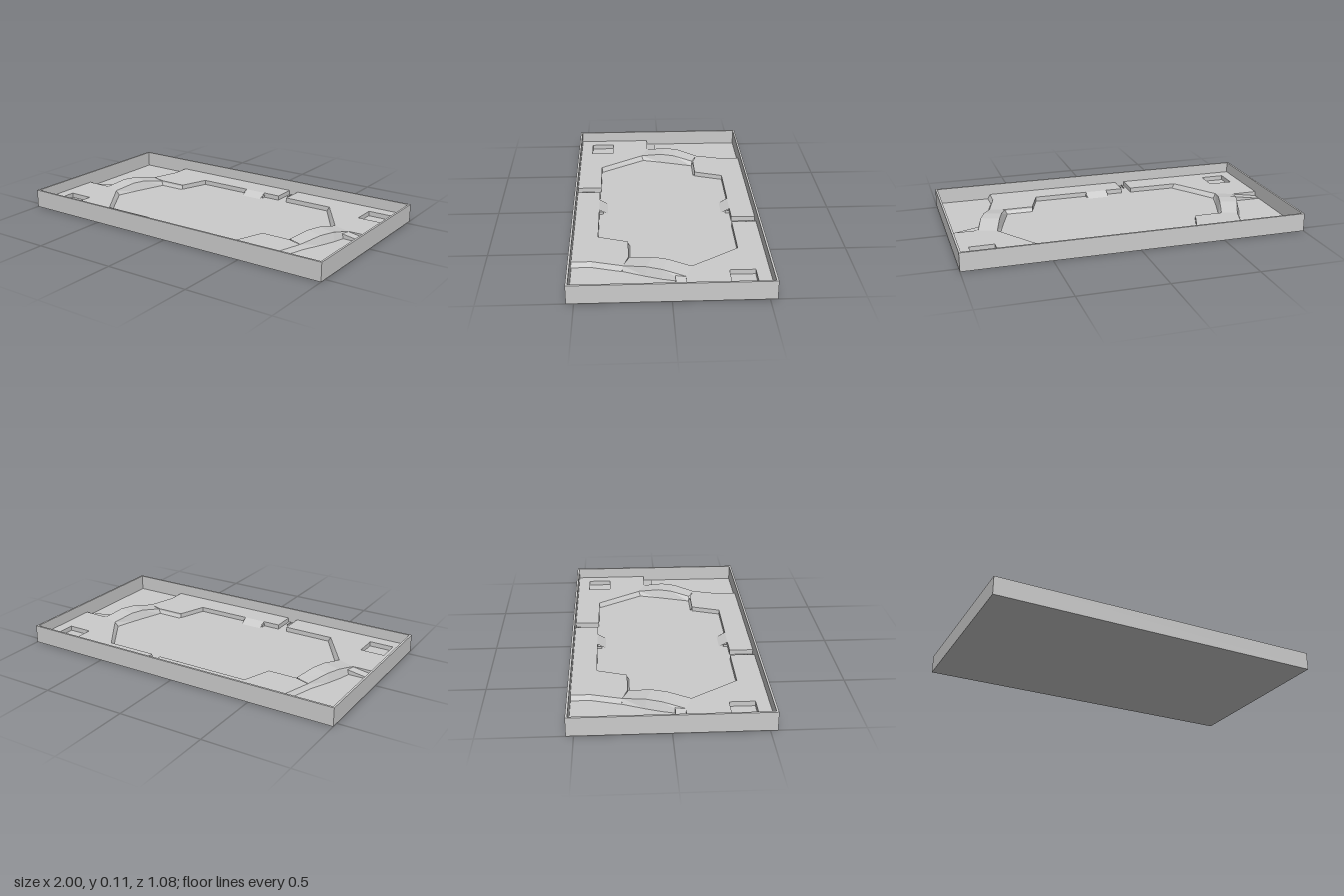
import * as THREE from 'three';

const FLOOR = 0.014, DECK = 0.042, CREST = 0.066, RIM = 0.107;
const X = 1, Z = 0.54, WALL = 0.012;
const material = new THREE.MeshStandardMaterial({ color: 0xcccccc, flatShading: true, side: THREE.DoubleSide });

function add(parent, name, geometry) {
  const mesh = new THREE.Mesh(geometry, material);
  mesh.name = name;
  parent.add(mesh);
  return mesh;
}

// Outline in plan [x, z], extruded upward from y0 to y1
function slab(outline, y0, y1, hole) {
  const toShape = pts => pts.map(([x, z]) => new THREE.Vector2(x, -z));
  const shape = new THREE.Shape(toShape(outline));
  if (hole) shape.holes.push(new THREE.Path(toShape(hole)));
  const g = new THREE.ExtrudeGeometry(shape, { depth: y1 - y0, bevelEnabled: false });
  return g.rotateX(-Math.PI / 2).translate(0, y0, 0);
}

const rect = (x0, x1, z0, z1) => [[x0, z0], [x1, z0], [x1, z1], [x0, z1]];

// Skin joining open cross-sections, each a list of [x, y, z]
function loft(sections) {
  const n = sections[0].length, index = [];
  for (let i = 0; i < sections.length - 1; i++) {
    for (let j = 0; j < n - 1; j++) {
      const a = i * n + j, b = a + n;
      index.push(a, a + 1, b, b, a + 1, b + 1);
    }
  }
  const g = new THREE.BufferGeometry();
  g.setAttribute('position', new THREE.Float32BufferAttribute(sections.flat(2), 3));
  g.setIndex(index);
  // face the skin upward
  g.computeVertexNormals();
  let up = 0;
  for (let i = 0; i < sections.length * n; i++) up += g.attributes.normal.getY(i);
  if (up < 0) {
    g.setIndex(index.reverse());
    g.computeVertexNormals();
  }
  return g;
}

// Narrow sloping bank from a deck edge down to the floor
const bank = (top, foot) => loft(top.map(([x, z], i) => [[x, DECK, z], [foot[i][0], FLOOR, foot[i][1]]]));

// One half of the terrain; the other half is the same turned by 180 degrees
function terrainHalf() {
  const half = new THREE.Group();
  const zi = Z - WALL, xi = X - WALL;

  // Long deck along the back
  add(half, 'backDeck', slab([
    [-0.66, -zi], [-0.66, -0.42], [-0.71, -0.25], [-0.62, -0.22], [-0.45, -0.22],
    [-0.39, -0.39], [0.18, -0.39], [0.18, -zi],
  ], FLOOR, DECK));
  add(half, 'backDeckBank', bank(
    [[-0.62, -0.225], [-0.45, -0.225]],
    [[-0.612, -0.21], [-0.452, -0.21]]));
  add(half, 'outerBank', bank(
    [[-0.66, -zi], [-0.66, -0.42], [-0.71, -0.25]],
    [[-0.674, -zi], [-0.674, -0.423], [-0.724, -0.255]]));

  // Corner deck with a square pit
  add(half, 'cornerDeck', slab([
    [-xi, 0.08], [-0.83, 0.08], [-0.725, 0.12], [-0.545, 0.385], [-0.24, 0.385],
    [-0.24, zi], [-xi, zi],
  ], FLOOR, DECK, rect(-0.92, -0.775, 0.315, 0.455)));
  add(half, 'cornerDeckBank', bank(
    [[-0.725, 0.12], [-0.545, 0.385]],
    [[-0.71, 0.11], [-0.53, 0.383]]));

  // Humped bridge joining the two decks: [outer x, z, inner x, z, height]
  const bridge = [
    [-0.71, -0.25, -0.622, -0.215, DECK], [-0.765, -0.125, -0.664, -0.09, CREST],
    [-0.797, -0.04, -0.69, -0.01, CREST], [-0.83, 0.08, -0.727, 0.12, DECK],
  ];
  add(half, 'bridge', loft(bridge.map(([ox, oz, ix, iz, y]) => [
    [ox - 0.012, FLOOR, oz - 0.004], [ox, y, oz], [ix, y, iz], [ix + 0.014, FLOOR, iz + 0.004],
  ])));

  // Side ramp rising from the outer wall to the bridge foot
  add(half, 'sideRamp', slab(rect(-xi, -0.82, 0.025, 0.08), FLOOR, DECK));
  const ramp = half.children[half.children.length - 1].geometry.attributes.position;
  for (let i = 0; i < ramp.count; i++) {
    if (ramp.getX(i) < -0.9 && ramp.getY(i) > 0.03) ramp.setY(i, FLOOR + 0.001);
  }

  // Short ramp from the middle of the back deck to the arena
  add(half, 'middleRamp', loft([-0.06, 0.075].map(x => [
    [x, FLOOR, -0.39], [x, DECK, -0.39], [x, FLOOR, -0.34],
  ])));
  for (const x of [-0.06, 0.075]) {
    add(half, 'middleRampCheek', slab(rect(x - 0.003, x + 0.003, -0.39, -0.365), FLOOR, DECK - 0.013));
  }

  // Studs on the floor of the narrow passage
  for (let i = 0; i < 2; i++) {
    for (let j = 0; j < 3; j++) {
      const stud = add(half, 'passageStud', new THREE.BoxGeometry(0.006, 0.008, 0.006));
      stud.position.set(0.2 + i * 0.02, FLOOR + 0.004, -0.515 + j * 0.02);
    }
  }
  return half;
}

export function createModel() {
  const model = new THREE.Group();
  model.name = 'arenaTray';

  // Tray floor and surrounding wall
  add(model, 'trayFloor', slab(rect(-X, X, -Z, Z), 0, FLOOR));
  add(model, 'trayWall', slab(rect(-X, X, -Z, Z), FLOOR, RIM,
    rect(-X + WALL, X - WALL, -Z + WALL, Z - WALL)));

  for (let i = 0; i < 2; i++) {
    const half = terrainHalf();
    half.name = i ? 'frontTerrain' : 'backTerrain';
    half.rotation.y = i * Math.PI;
    model.add(half);
  }
  return model;
}
